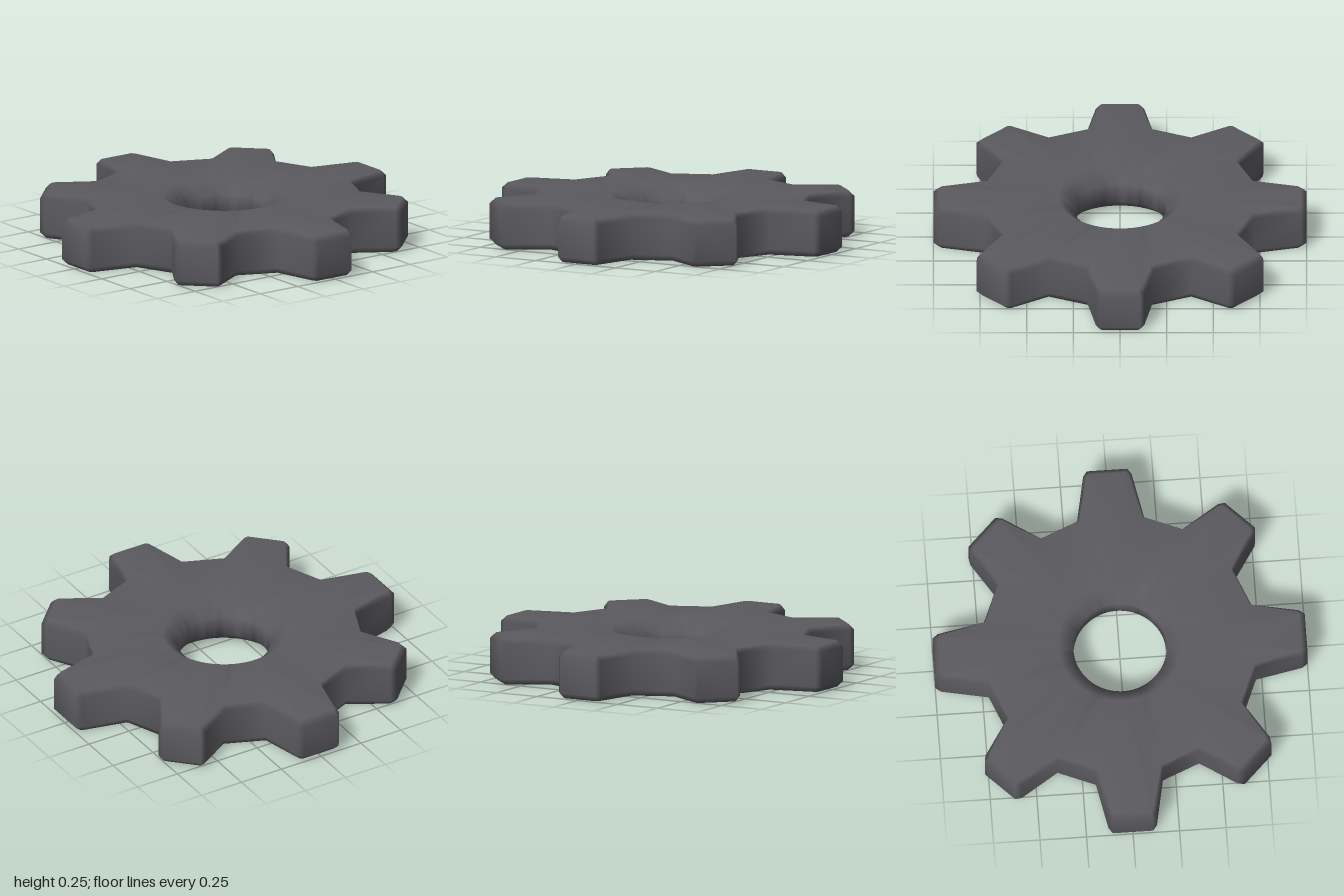
import * as THREE from 'three';

const TEETH = 8;
const HEIGHT = 0.25;
const PER_TOOTH = 6;
const COUNT = TEETH * PER_TOOTH;

// Half of one tooth: [radial, sideways], from root to tip
const outer = [[0.718, 0.18], [0.965, 0.13], [0.995, 0.108]];
const inset = [[0.71, 0.17], [0.95, 0.112], [0.965, 0.098]];

// Closed loop of the whole toothed outline at height y
function toothLoop(half, y) {
  const tooth = [...half.map(([u, v]) => [u, -v]), ...[...half].reverse()];
  const loop = [];
  for (let t = 0; t < TEETH; t++) {
    const a = (t / TEETH) * Math.PI * 2;
    const k = t % 2 ? 0.985 : 1.005; // diagonal teeth are slightly shorter
    tooth.forEach(([u, v]) => {
      const r = u > 0.9 ? u * k : u;
      loop.push([r * Math.cos(a) - v * Math.sin(a), y, -(r * Math.sin(a) + v * Math.cos(a))]);
    });
  }
  return loop;
}

// Closed loop of the round bore at height y
function boreLoop(r, y) {
  return Array.from({ length: COUNT }, (_, j) => {
    const a = ((j - (PER_TOOTH - 1) / 2) / COUNT) * Math.PI * 2;
    return [r * Math.cos(a), y, -r * Math.sin(a)];
  });
}

// Skin the loops into one closed ring with smooth normals
function skin(loops) {
  const index = [];
  loops.forEach((_, k) => {
    const k2 = (k + 1) % loops.length;
    for (let j = 0; j < COUNT; j++) {
      const j2 = (j + 1) % COUNT;
      const a = k * COUNT + j, b = k * COUNT + j2;
      const c = k2 * COUNT + j2, d = k2 * COUNT + j;
      // keep the diagonal on the inner corner at each tooth root
      if (j % PER_TOOTH < 2 || j % PER_TOOTH === 5) index.push(a, b, c, a, c, d);
      else index.push(a, b, d, b, c, d);
    }
  });
  const g = new THREE.BufferGeometry();
  g.setAttribute('position', new THREE.Float32BufferAttribute(loops.flat(2), 3));
  g.setIndex(index);
  g.computeVertexNormals();
  return g;
}

export function createModel() {
  const group = new THREE.Group();
  group.name = 'gear';
  const darkMetal = new THREE.MeshStandardMaterial({ color: 0x5b5a5f });
  darkMetal.name = 'darkMetal';

  // Outer wall, bevel, top face, chamfered bore, bottom face
  const wheel = new THREE.Mesh(skin([
    toothLoop(inset, 0),
    toothLoop(outer, 0.03),
    toothLoop(outer, HEIGHT - 0.03),
    toothLoop(inset, HEIGHT),
    boreLoop(0.33, HEIGHT),
    boreLoop(0.25, HEIGHT - 0.07),
    boreLoop(0.25, 0.07),
    boreLoop(0.33, 0),
  ]), darkMetal);
  wheel.name = 'toothedWheel';
  group.add(wheel);
  return group;
}
